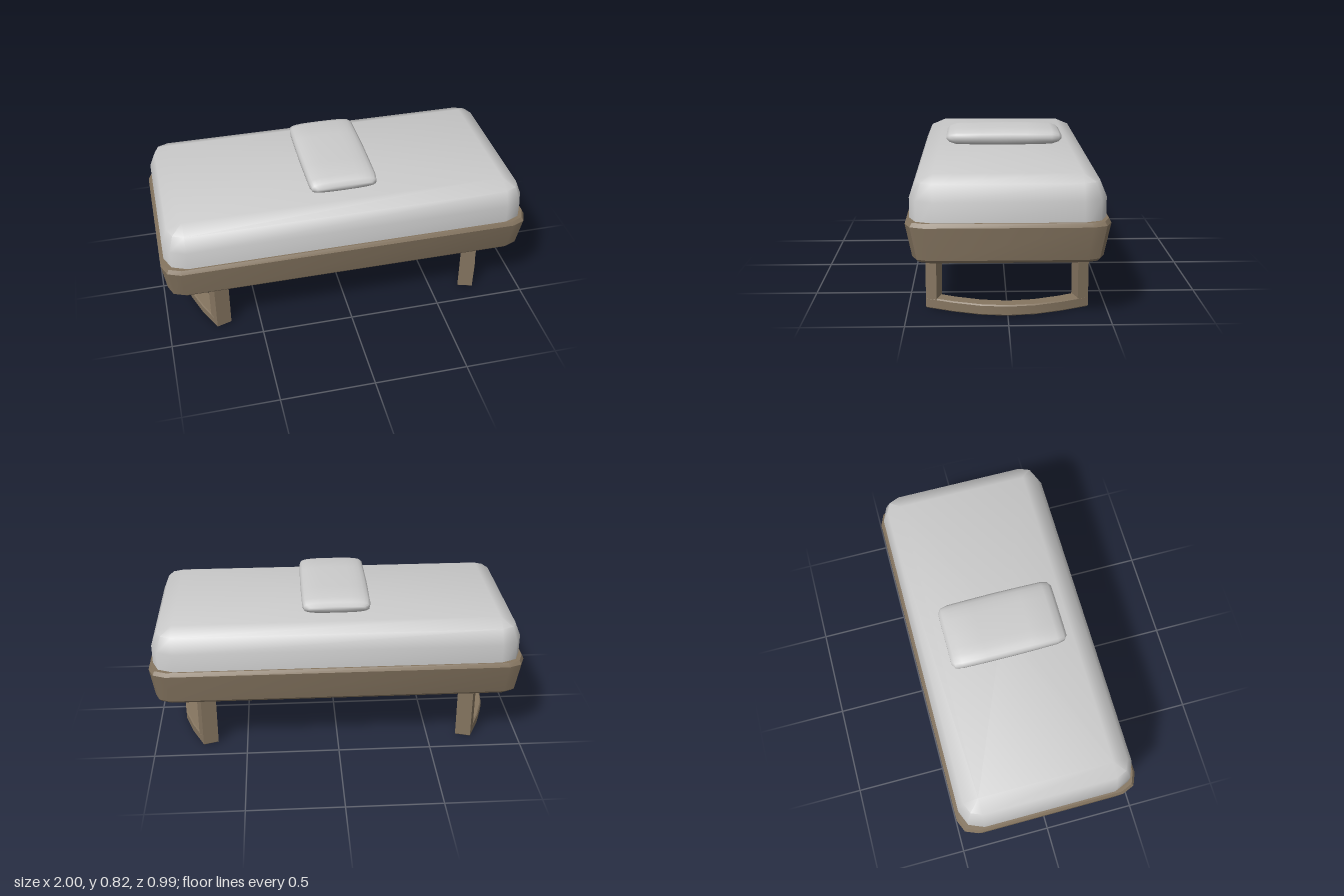
import * as THREE from 'three';
import { toCreasedNormals } from 'three/addons/utils/BufferGeometryUtils.js';

const WOOD = new THREE.MeshStandardMaterial({ color: 0x857560 });
const FABRIC = new THREE.MeshStandardMaterial({ color: 0xcccccc });

// Skin a closed solid over rings of [x, y, z] points (counter-clockwise about the stacking axis).
function loft(rings, crease) {
  const n = rings[0].length;
  const pos = [];
  const tri = (...pts) => pts.forEach((p) => pos.push(...p));
  const centre = (ring) => [0, 1, 2].map((k) => ring.reduce((s, p) => s + p[k], 0) / n);
  const first = rings[0], last = rings[rings.length - 1];
  const c0 = centre(first), c1 = centre(last);
  for (let i = 0; i < n; i++) {
    const j = (i + 1) % n;
    for (let r = 0; r < rings.length - 1; r++) {
      const lo = rings[r], hi = rings[r + 1];
      tri(lo[i], lo[j], hi[j]);
      tri(lo[i], hi[j], hi[i]);
    }
    tri(c0, first[j], first[i]);
    tri(c1, last[i], last[j]);
  }
  const geo = new THREE.BufferGeometry();
  geo.setAttribute('position', new THREE.Float32BufferAttribute(pos, 3));
  return toCreasedNormals(geo, crease);
}

// Horizontal rectangle with two-facet rounded corners.
function roundedRing(y, hx, hz, r) {
  const ring = [];
  for (let q = 0; q < 4; q++) {
    const sx = q === 0 || q === 3 ? 1 : -1;
    const sz = q < 2 ? -1 : 1;
    for (let k = 0; k < 3; k++) {
      const a = (q + k / 2) * Math.PI / 2;
      ring.push([sx * (hx - r) + r * Math.cos(a), y, sz * (hz - r) - r * Math.sin(a)]);
    }
  }
  return ring;
}

function add(parent, name, geo, material) {
  const mesh = new THREE.Mesh(geo, material);
  mesh.name = name;
  parent.add(mesh);
  return mesh;
}

// Upright extrusion of a plan outline given as [x, z], with a fine bevel.
function upright(points, y0, y1) {
  const b = 0.006;
  const shape = new THREE.Shape(points.map(([x, z]) => new THREE.Vector2(x, z)));
  const geo = new THREE.ExtrudeGeometry(shape, {
    depth: y1 - y0 - 2 * b, bevelEnabled: true, bevelSegments: 1,
    bevelSize: b, bevelThickness: b, bevelOffset: -b,
  });
  geo.rotateX(Math.PI / 2);
  geo.translate(0, y1 - b, 0);
  return toCreasedNormals(geo, 0.4);
}

// Bowed floor rail with a post at each end.
function buildLeg(name) {
  const leg = new THREE.Group();
  leg.name = name;
  const steps = 6;
  const outer = [], inner = [];
  for (let i = 0; i <= steps; i++) {
    const t = (i / steps) * 2 - 1;
    const bow = Math.cos(t * Math.PI / 4) ** 2 * 2 - 1;
    outer.push([0.74 + 0.13 * bow, 0.41 * t]);
    inner.push([0.66 + 0.13 * bow, 0.385 * t]);
  }
  add(leg, 'curvedRail', upright([...outer, ...inner.reverse()], 0, 0.055), WOOD);
  for (const s of [1, -1]) {
    const post = [[0.66, 0.385 * s], [0.74, 0.41 * s], [0.765, 0.355 * s], [0.685, 0.33 * s]];
    add(leg, s > 0 ? 'frontPost' : 'backPost', upright(post, 0, 0.325), WOOD);
  }
  return leg;
}

export function createModel() {
  const model = new THREE.Group();
  model.name = 'daybed';

  // Tapered wooden base with chamfered rims
  add(model, 'baseFrame', loft([
    roundedRing(0.305, 0.965, 0.45, 0.08),
    roundedRing(0.32, 0.978, 0.463, 0.085),
    roundedRing(0.485, 1.0, 0.495, 0.095),
    roundedRing(0.505, 0.99, 0.483, 0.09),
  ], 0.5), WOOD);

  // Mattress: vertical sides, rounded over at the top
  const R = 0.115;
  const level = (y, r) => roundedRing(y, 0.865 + r, 0.36 + r, r);
  add(model, 'mattress', loft([
    level(0.45, R), level(0.605, R), level(0.605 + R * 0.707, R * 0.707), level(0.72, 0.0005),
  ], 0.9), FABRIC);

  // Plump pillow lofted along z: [z, half width, half height]
  const sections = [
    [-0.317, 0.15, 0.012], [-0.3, 0.175, 0.03], [-0.262, 0.182, 0.044], [-0.13, 0.184, 0.047],
    [0, 0.185, 0.049], [0.13, 0.184, 0.047], [0.262, 0.182, 0.044], [0.3, 0.175, 0.03], [0.317, 0.15, 0.012],
  ];
  const soften = (v) => Math.sign(v) * Math.abs(v) ** 0.6;
  add(model, 'pillow', loft(sections.map(([z, w, h]) => {
    const ring = [];
    for (let i = 0; i < 24; i++) {
      const a = (i / 24) * Math.PI * 2;
      ring.push([w * soften(Math.cos(a)), 0.769 + h * soften(Math.sin(a)), z]);
    }
    return ring;
  }), 1.0), FABRIC);

  // A leg frame under each end, bowed outward
  model.add(buildLeg('leftLeg'));
  const right = buildLeg('rightLeg');
  right.rotation.y = Math.PI;
  model.add(right);

  return model;
}
